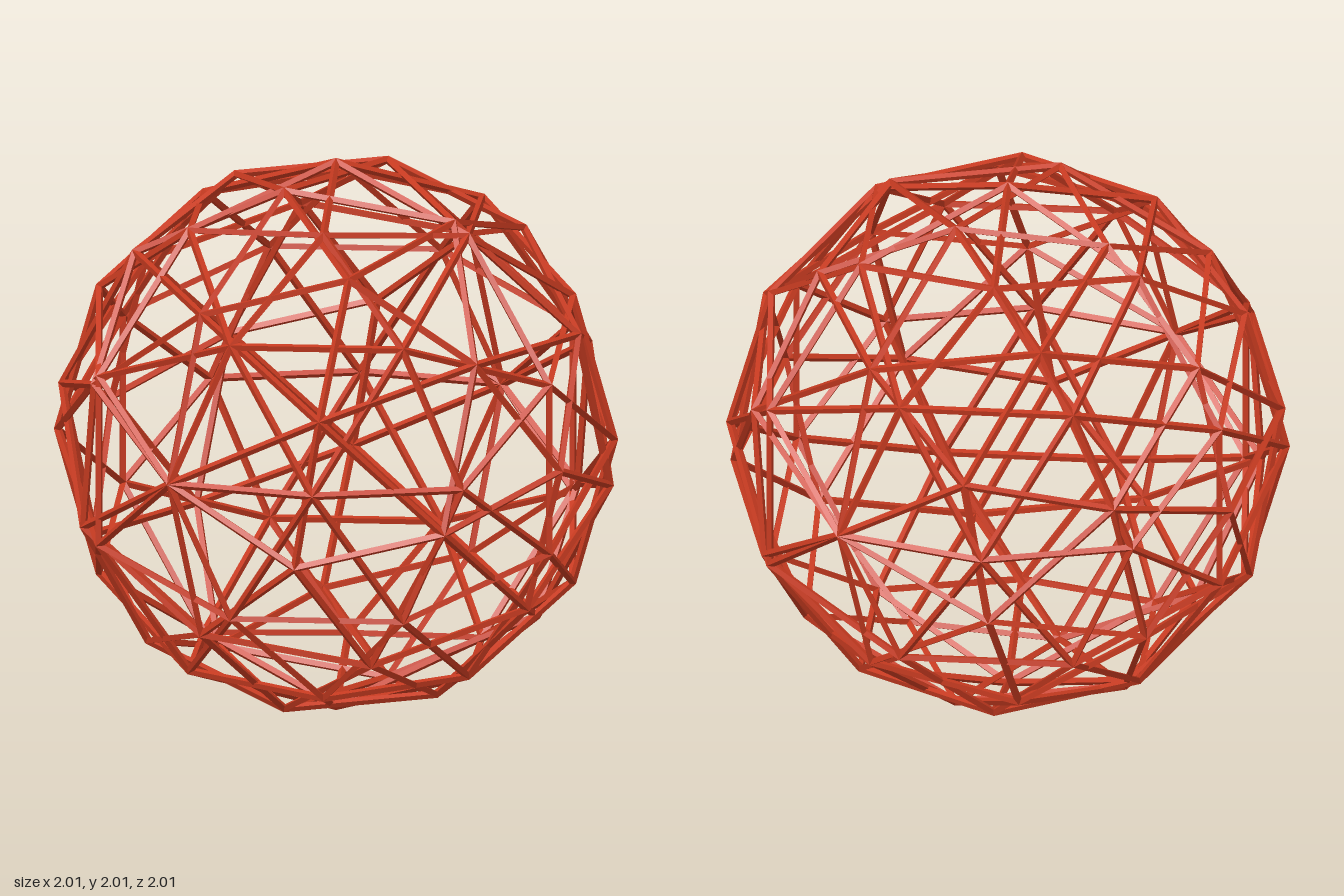
import * as THREE from 'three';
import { mergeGeometries } from 'three/addons/utils/BufferGeometryUtils.js';

const RADIUS = 0.988; // distance of the joints from the centre
const STRUT = 0.014;  // half thickness of a strut

// 12 icosahedron corners with poles on z, plus the 30 edge midpoints pushed out to the sphere
function geodesicPoints() {
  const corners = [];
  const h = 1 / Math.sqrt(5), r = 2 / Math.sqrt(5);
  for (const s of [1, -1]) {
    corners.push(new THREE.Vector3(0, 0, s));
    for (let i = 0; i < 5; i++) {
      const a = i * Math.PI * 2 / 5;
      corners.push(new THREE.Vector3(s * r * Math.cos(a), r * Math.sin(a), s * h));
    }
  }
  const points = [...corners];
  corners.forEach((a, i) => corners.slice(i + 1).forEach((b) => {
    if (a.distanceTo(b) < 1.1) points.push(a.clone().add(b).normalize());
  }));
  return points;
}

// Four-sided bar from a to b with one ridge facing outward
function strut(a, b) {
  const geo = new THREE.CylinderGeometry(STRUT, STRUT, a.distanceTo(b) + STRUT * 0.6, 4);
  const along = b.clone().sub(a).normalize();
  const middle = a.clone().add(b).multiplyScalar(0.5);
  const outward = middle.clone().normalize();
  const side = along.clone().cross(outward);
  return geo.applyMatrix4(new THREE.Matrix4().makeBasis(side, along, outward).setPosition(middle));
}

// Joins every pair of neighbouring points
function cage(name, points, material) {
  const parts = [];
  points.forEach((a, i) => points.slice(i + 1).forEach((b) => {
    if (a.distanceTo(b) < 0.7) {
      parts.push(strut(a.clone().multiplyScalar(RADIUS), b.clone().multiplyScalar(RADIUS)));
    }
  }));
  const mesh = new THREE.Mesh(mergeGeometries(parts), material);
  mesh.name = name;
  mesh.position.y = 1;
  return mesh;
}

export function createModel() {
  const group = new THREE.Group();
  group.name = 'geodesicWireSphere';
  const material = new THREE.MeshStandardMaterial({ color: 0xc63a20, flatShading: true });

  // Two interlaced cages, one with poles front and back, one with poles left and right
  const points = geodesicPoints();
  group.add(cage('frontBackCage', points, material));
  const turned = points.map((p) => new THREE.Vector3(-p.z, p.x, p.y));
  group.add(cage('leftRightCage', turned, material));
  return group;
}
